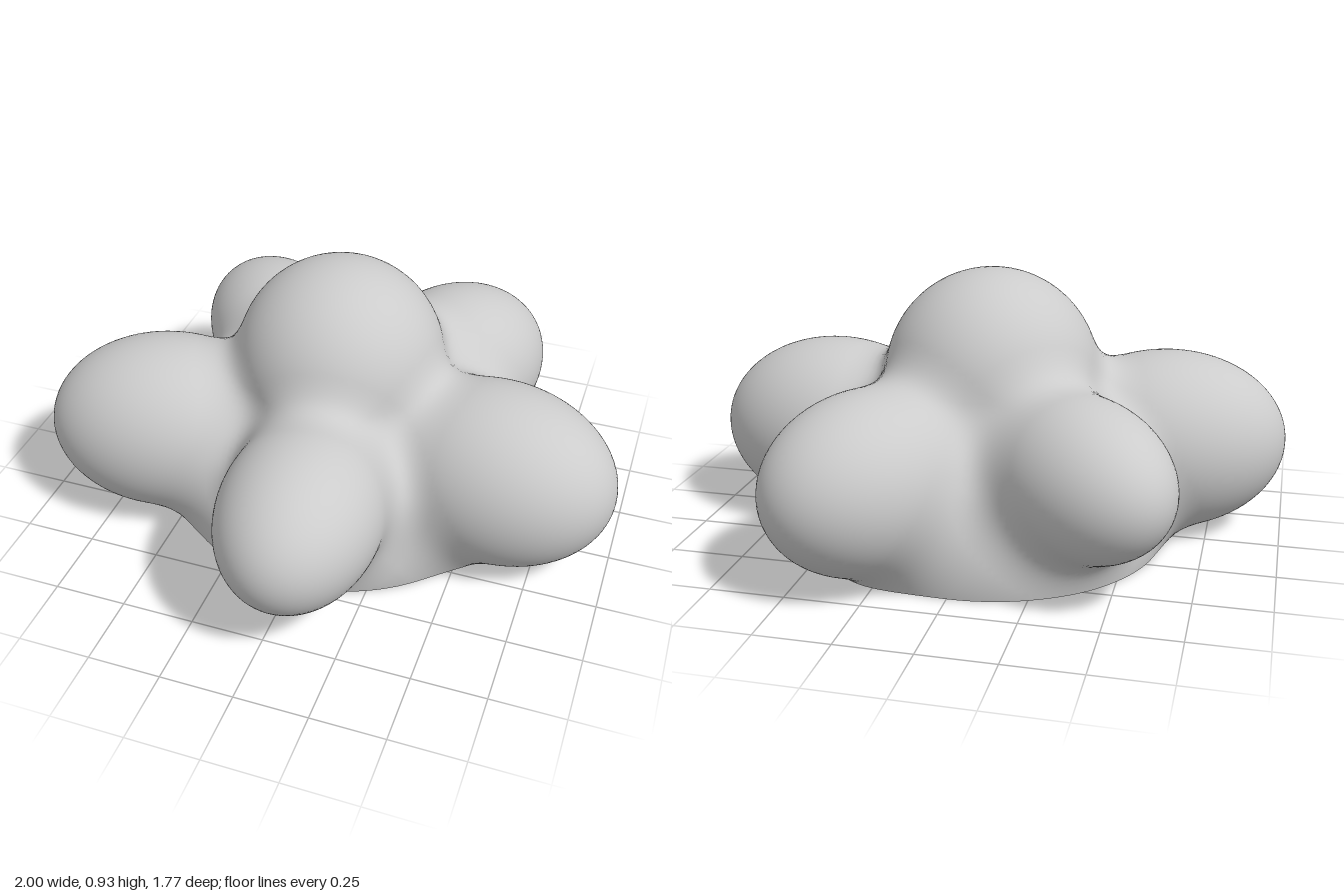
import * as THREE from 'three';

// Soft lobes: centre, long radius, cross radius, heading of the long axis in x/z
const lobes = [
  { c: [0.58, 0.31, 0.035], long: 0.42, r: 0.315, dir: [0.99, 0.12] },
  { c: [-0.586, 0.315, 0.13], long: 0.42, r: 0.312, dir: [-0.966, 0.26] },
  { c: [0.05, 0.36, 0.5], long: 0.385, r: 0.273, dir: [0.05, 1] },
  { c: [0.278, 0.32, -0.51], long: 0.4, r: 0.3, dir: [0.5, -0.866] },
  { c: [-0.375, 0.37, -0.45], long: 0.38, r: 0.26, dir: [-0.707, -0.707] },
];
const dome = { c: [-0.015, 0.57, -0.08], radii: [0.362, 0.365, 0.365] };
const body = { c: [-0.01, 0.06, -0.08], radii: [0.6, 0.46, 0.57] };

// Approximate signed distance to an ellipsoid
function ellipsoid(x, y, z, a, b, c) {
  const k0 = Math.hypot(x / a, y / b, z / c);
  const k1 = Math.hypot(x / (a * a), y / (b * b), z / (c * c));
  return k1 < 1e-6 ? -Math.min(a, b, c) : (k0 * (k0 - 1)) / k1;
}

function smoothMin(a, b, k) {
  const h = Math.max(k - Math.abs(a - b), 0) / k;
  return Math.min(a, b) - h * h * k * 0.25;
}

// Blended form of body, dome and lobes
function form(x, y, z) {
  const part = (p) => ellipsoid(x - p.c[0], y - p.c[1], z - p.c[2], ...p.radii);
  let d = smoothMin(part(body), part(dome), 0.14);
  for (const l of lobes) {
    const n = Math.hypot(...l.dir);
    const ux = l.dir[0] / n, uz = l.dir[1] / n;
    const dx = x - l.c[0], dz = z - l.c[2];
    const e = ellipsoid(dx * ux + dz * uz, y - l.c[1], dz * ux - dx * uz, l.long, l.r, l.r);
    d = smoothMin(d, e, 0.14);
  }
  return d;
}

// Below the ground the form becomes a short stub, later pressed flat
const field = (x, y, z) => Math.max(form(x, Math.max(y, 0), z), -0.05 - y);

function gradient(x, y, z) {
  const e = 0.002;
  return new THREE.Vector3(
    form(x + e, y, z) - form(x - e, y, z),
    form(x, y + e, z) - form(x, y - e, z),
    form(x, y, z + e) - form(x, y, z - e)
  ).divideScalar(2 * e);
}

// Skin the form with a net: one vertex per crossed cell, one quad per crossed edge
function skin() {
  const step = 0.022, min = [-1.08, -0.11, -0.97], size = [99, 50, 89];
  const stride = [1, size[0], size[0] * size[1]];
  const values = new Float32Array(size[0] * size[1] * size[2]);
  const at = (i, j, k) => i + j * stride[1] + k * stride[2];
  const eachNode = (margin, fn) => {
    for (let k = margin; k < size[2] - margin; k++)
      for (let j = margin; j < size[1] - margin; j++)
        for (let i = margin; i < size[0] - margin; i++) fn(i, j, k, at(i, j, k));
  };
  eachNode(0, (i, j, k, n) => {
    values[n] = field(min[0] + i * step, min[1] + j * step, min[2] + k * step);
  });

  const cellVertex = new Map();
  const positions = [], normals = [];
  eachNode(1, (i, j, k, n) => {
    const sum = [0, 0, 0];
    let count = 0;
    for (let a = 0; a < 3; a++) {
      const u = (a + 1) % 3, v = (a + 2) % 3;
      for (let q = 0; q < 4; q++) {
        const s = q & 1, t = q >> 1;
        const m = n + s * stride[u] + t * stride[v];
        const f0 = values[m], f1 = values[m + stride[a]];
        if (f0 < 0 === f1 < 0) continue;
        sum[a] += f0 / (f0 - f1);
        sum[u] += s;
        sum[v] += t;
        count++;
      }
    }
    if (!count) return;
    const p = new THREE.Vector3(i, j, k)
      .add(new THREE.Vector3(...sum).divideScalar(count))
      .multiplyScalar(step)
      .add(new THREE.Vector3(...min));
    p.y = Math.max(p.y, 0);
    const g = gradient(p.x, p.y, p.z);
    // Settle the vertex on the exact surface
    if (p.y > 0) {
      p.addScaledVector(g, -form(p.x, p.y, p.z) / Math.max(g.lengthSq(), 0.1));
      p.y = Math.max(p.y, 0);
    }
    g.normalize();
    cellVertex.set(n, positions.length / 3);
    positions.push(p.x, p.y, p.z);
    normals.push(g.x, g.y, g.z);
  });

  const upper = [], base = [];
  eachNode(2, (i, j, k, n) => {
    for (let a = 0; a < 3; a++) {
      const inside = values[n] < 0;
      if (inside === values[n + stride[a]] < 0) continue;
      const u = stride[(a + 1) % 3], v = stride[(a + 2) % 3];
      const quad = [n - u - v, n - v, n, n - u].map((c) => cellVertex.get(c));
      if (!inside) quad.reverse();
      const [p, q, r, s] = quad;
      const flat = quad.every((c) => positions[c * 3 + 1] === 0);
      (flat ? base : upper).push(p, q, r, p, r, s);
    }
  });
  return { positions, normals, upper, base };
}

export function createModel() {
  const group = new THREE.Group();
  group.name = 'lobedBlob';
  const material = new THREE.MeshStandardMaterial({ color: 0xcccccc });
  const { positions, normals, upper, base } = skin();
  const add = (name, index, normalData) => {
    const geometry = new THREE.BufferGeometry();
    geometry.setAttribute('position', new THREE.Float32BufferAttribute(positions, 3));
    geometry.setAttribute('normal', new THREE.Float32BufferAttribute(normalData, 3));
    geometry.setIndex(index);
    const mesh = new THREE.Mesh(geometry, material);
    mesh.name = name;
    group.add(mesh);
  };
  add('lobedBody', upper, normals);
  // Flat underside
  add('flatBase', base, normals.map((_, i) => (i % 3 === 1 ? -1 : 0)));
  return group;
}
